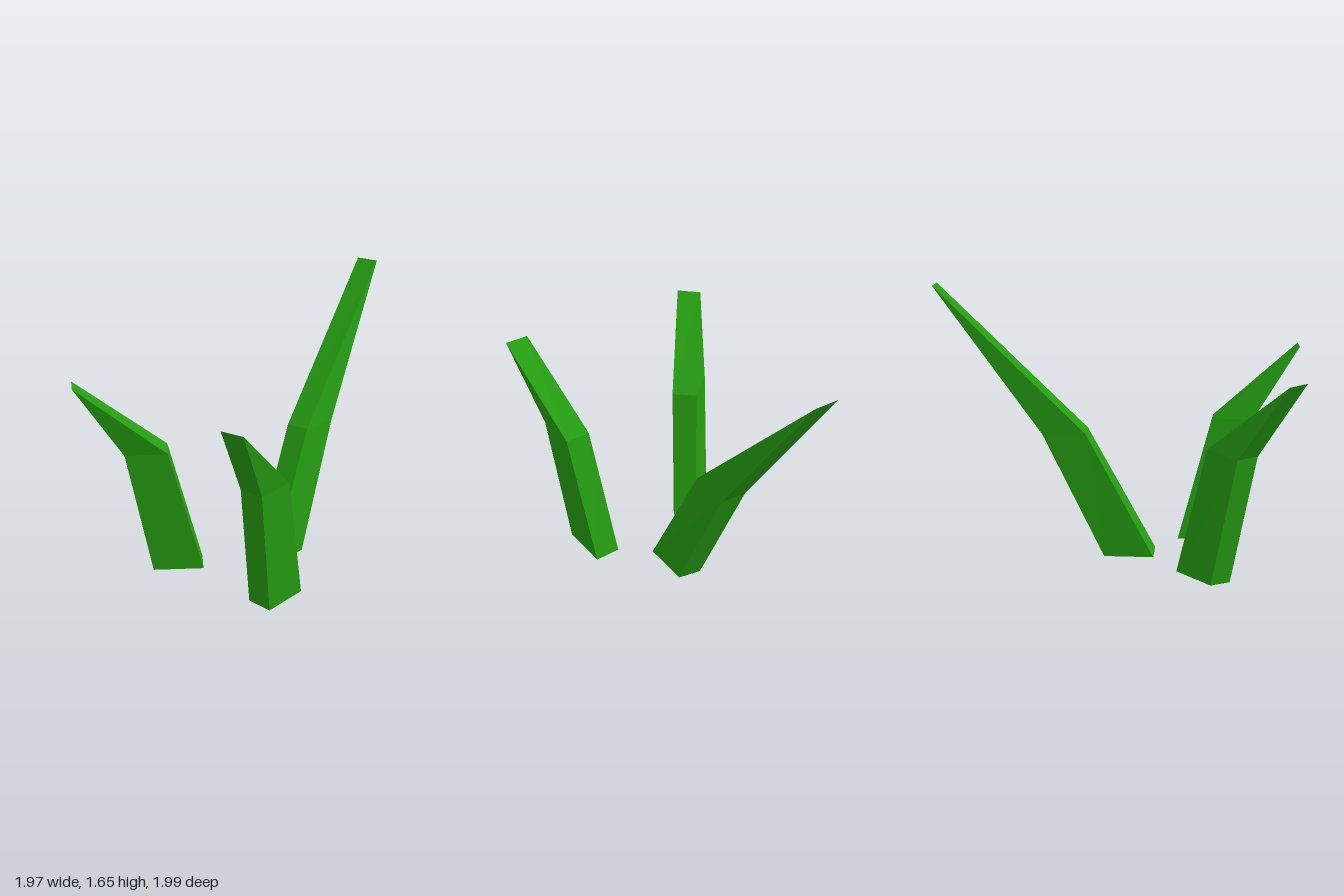
import * as THREE from 'three';

// Open-bottomed blade: a four-cornered base, a four-cornered bend, and a chisel tip.
// Corners run counter-clockwise seen from above; tip lists the tip point over each corner.
function makeBlade(name, base, bend, tip, material) {
  const rings = [base, bend, tip];
  const positions = [];
  for (let r = 0; r < 2; r++) {
    for (let i = 0; i < 4; i++) {
      const j = (i + 1) % 4;
      const [a, b] = [rings[r][i], rings[r][j]];
      const [d, c] = [rings[r + 1][i], rings[r + 1][j]];
      positions.push(...a, ...b, ...c);
      if (c !== d) positions.push(...a, ...c, ...d); // sides close to a triangle at the tip
    }
  }
  const geometry = new THREE.BufferGeometry();
  geometry.setAttribute('position', new THREE.Float32BufferAttribute(positions, 3));
  geometry.computeVertexNormals();
  const mesh = new THREE.Mesh(geometry, material);
  mesh.name = name;
  return mesh;
}

export function createModel() {
  const group = new THREE.Group();
  group.name = 'grassTuft';
  const green = new THREE.MeshStandardMaterial({
    color: 0x259c12, flatShading: true, side: THREE.DoubleSide,
  });

  // Tall blade leaning back and to the left
  const tallA = [0.98, 1.65, -0.9], tallB = [0.88, 1.65, -1.0];
  group.add(makeBlade('tallBlade',
    [[0.16, 0.015, 0.06], [0.38, 0.015, -0.14], [0.28, 0, -0.25], [0.06, 0, -0.05]],
    [[0.42, 0.775, -0.245], [0.605, 0.765, -0.41], [0.505, 0.765, -0.525], [0.32, 0.77, -0.35]],
    [tallA, tallA, tallB, tallB], green));

  // Short blade leaning forward
  const frontA = [-0.145, 1.21, 0.99], frontB = [-0.25, 1.21, 0.89];
  group.add(makeBlade('frontBlade',
    [[0.28, 0, 0.38], [0.18, 0.015, 0.27], [-0.04, 0.015, 0.48], [0.06, 0, 0.59]],
    [[0.17, 0.765, 0.565], [0.07, 0.775, 0.455], [-0.11, 0.77, 0.63], [-0.01, 0.765, 0.74]],
    [frontA, frontB, frontB, frontA], green));

  // Short blade leaning to the right
  const sideA = [-0.99, 1.21, 0.105], sideB = [-0.99, 1.21, -0.04];
  group.add(makeBlade('sideBlade',
    [[-0.25, 0, 0], [-0.24, 0.015, -0.145], [-0.54, 0.015, -0.165], [-0.55, 0, -0.02]],
    [[-0.455, 0.77, 0.045], [-0.445, 0.78, -0.105], [-0.695, 0.77, -0.12], [-0.705, 0.765, 0.03]],
    [sideA, sideB, sideB, sideA], green));

  return group;
}
